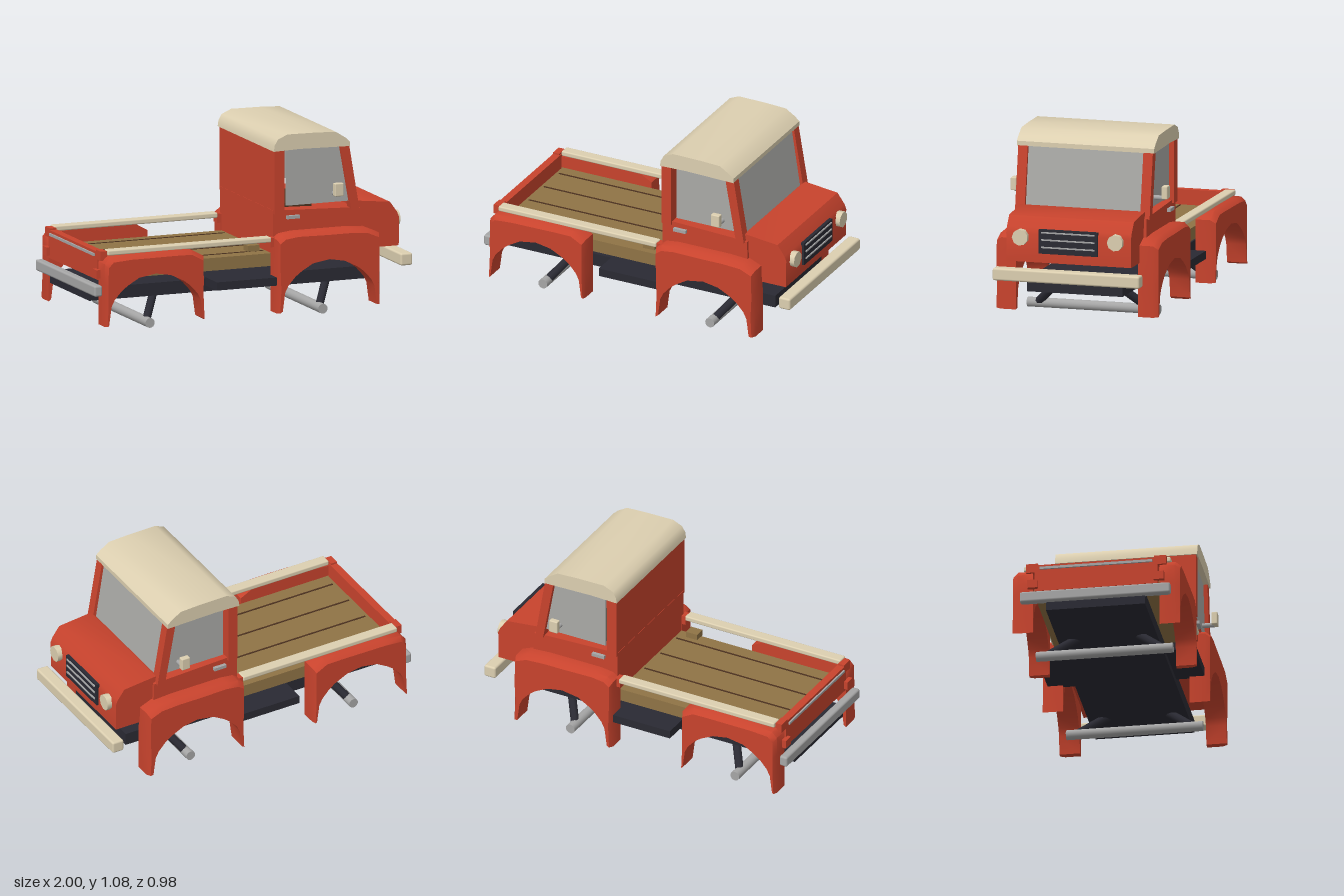
import * as THREE from 'three';
import { toCreasedNormals } from 'three/addons/utils/BufferGeometryUtils.js';
import { RoundedBoxGeometry } from 'three/addons/geometries/RoundedBoxGeometry.js';

const mat = (name, color, side = THREE.FrontSide) => {
  const m = new THREE.MeshStandardMaterial({ color, side });
  m.name = name;
  return m;
};

export function createModel() {
  const red = mat('body red', 0xc8432d);
  const cream = mat('cream', 0xdccfb0);
  const wood = mat('wood', 0x8f7345);
  const groove = mat('plank groove', 0x4d3220);
  const dark = mat('dark frame', 0x2a2a33);
  const metal = mat('grey metal', 0xa6a6a6);
  const glass = mat('window grey', 0xa9a9a6, THREE.DoubleSide);

  const truck = new THREE.Group();
  truck.name = 'flatbedTruck';

  const add = (name, geo, material, x = 0, y = 0, z = 0) => {
    const m = new THREE.Mesh(geo, material);
    m.name = name;
    m.position.set(x, y, z);
    truck.add(m);
    return m;
  };
  // Box from its limits on each axis, with optional rounded edges
  const box = (name, material, [x0, x1], [y0, y1], [z0, z1], r = 0) => {
    const s = [x1 - x0, y1 - y0, z1 - z0];
    const geo = r ? new RoundedBoxGeometry(...s, 2, r) : new THREE.BoxGeometry(...s);
    return add(name, geo, material, (x0 + x1) / 2, (y0 + y1) / 2, (z0 + z1) / 2);
  };
  // Side profile extruded across z
  const slab = (name, material, pts, z0, z1, crease = 0.3) => {
    const shape = new THREE.Shape(pts.map(p => new THREE.Vector2(...p)));
    const geo = new THREE.ExtrudeGeometry(shape, { depth: z1 - z0, bevelEnabled: false });
    return add(name, toCreasedNormals(geo, crease), material, 0, 0, z0);
  };
  // Round bar between two points
  const bar = (name, material, a, b, r, sides = 12) => {
    const p = new THREE.Vector3(...a), q = new THREE.Vector3(...b);
    const d = q.clone().sub(p);
    const m = add(name, new THREE.CylinderGeometry(r, r, d.length(), sides), material);
    m.position.copy(p).add(q).multiplyScalar(0.5);
    m.quaternion.setFromUnitVectors(new THREE.Vector3(0, 1, 0), d.normalize());
    return m;
  };
  const span = (s, a, b) => (s > 0 ? [a, b] : [-b, -a]);

  // Wheel arch: paired outer and inner outline points, swept as a chamfered section
  const fender = (name, outer, inner, s) => {
    const z0 = 0.37, z1 = 0.49;
    const sections = outer.map(([ox, oy], i) => {
      const [ix, iy] = inner[i];
      const t = Math.min(0.4, 0.025 / Math.hypot(ix - ox, iy - oy));
      return [[ox, oy, z0], [ox, oy, z1 - 0.03],
        [ox + (ix - ox) * t, oy + (iy - oy) * t, z1], [ix, iy, z1], [ix, iy, z0]];
    });
    const pos = [];
    const tri = (a, b, c) => (s > 0 ? [a, b, c] : [a, c, b])
      .forEach(([x, y, z]) => pos.push(x, y, z * s));
    for (let i = 0; i < sections.length - 1; i++) {
      for (let j = 0; j < 5; j++) {
        const k = (j + 1) % 5;
        const a = sections[i][j], b = sections[i][k], c = sections[i + 1][k], d = sections[i + 1][j];
        tri(a, b, c);
        tri(a, c, d);
      }
    }
    const first = sections[0], last = sections[sections.length - 1];
    for (let j = 1; j < 4; j++) {
      tri(first[0], first[j + 1], first[j]);
      tri(last[0], last[j], last[j + 1]);
    }
    const geo = new THREE.BufferGeometry();
    geo.setAttribute('position', new THREE.Float32BufferAttribute(pos, 3));
    add(name, toCreasedNormals(geo, 0.8), red);
  };

  // Chassis
  box('chassis', dark, [-0.97, 0.82], [0.165, 0.24], [-0.29, 0.29]);

  // Axles and their slanted struts
  for (const x of [-0.635, 0.45]) {
    bar('axle', metal, [x, 0.029, -0.4], [x, 0.029, 0.4], 0.029, 16);
    for (const s of [1, -1]) {
      bar('axleStrut', dark, [x, 0.03, s * 0.34], [x + 0.125, 0.19, s * 0.17], 0.025, 8);
    }
  }

  // Bumpers
  box('frontBumper', cream, [0.92, 0.995], [0.252, 0.325], [-0.445, 0.445], 0.012);
  box('rearBumper', metal, [-1, -0.95], [0.215, 0.28], [-0.44, 0.44], 0.012);

  // Cargo deck with plank grooves
  box('deck', wood, [-0.91, 0.14], [0.3, 0.375], [-0.37, 0.37]);
  for (const z of [-0.29, -0.1, 0.09, 0.28]) {
    box('plankGroove', groove, [-0.885, 0.125], [0.373, 0.378], [z - 0.005, z + 0.005]);
  }
  box('deckBlock', wood, [-0.005, 0.07], [0.392, 0.427], [0.295, 0.36]);

  // Tailgate
  box('tailgate', red, [-0.95, -0.905], [0.3, 0.465], [-0.36, 0.36]);
  box('tailgateTrim', metal, [-0.96, -0.948], [0.435, 0.45], [-0.33, 0.33]);

  // Body shell of the cab, and the hood
  slab('cabBody', red, [[0.14, 0.36], [0.7, 0.36], [0.69, 0.605], [0.6, 0.613], [0.14, 0.63]], -0.395, 0.395);
  slab('hood', red, [[0.66, 0.362], [0.935, 0.362], [0.937, 0.53], [0.925, 0.56], [0.88, 0.622], [0.67, 0.645], [0.66, 0.64]],
    -0.378, 0.378, 0.7);
  box('cabBackWall', red, [0.142, 0.2], [0.62, 0.985], [-0.36, 0.36]);
  box('seat', groove, [0.23, 0.42], [0.6, 0.65], [-0.3, 0.3]);

  // Windshield and roof
  slab('windshield', glass, [[0.642, 0.63], [0.651, 0.63], [0.596, 0.985], [0.587, 0.985]], -0.355, 0.355);
  slab('roof', cream, [[0.135, 0.98], [0.3, 0.985], [0.612, 0.978], [0.612, 1.005], [0.585, 1.03], [0.525, 1.068],
    [0.4, 1.074], [0.22, 1.076], [0.16, 1.05], [0.14, 1.015]], -0.416, 0.416, 0.65);

  // Grille
  box('grille', dark, [0.93, 0.95], [0.418, 0.56], [-0.178, 0.178]);
  for (const y of [0.456, 0.5, 0.543]) {
    box('grilleBar', metal, [0.948, 0.957], [y - 0.004, y + 0.004], [-0.162, 0.162]);
  }

  const rearOuter = [[-0.945, 0.04], [-0.945, 0.19], [-0.945, 0.3], [-0.945, 0.41], [-0.915, 0.442], [-0.8, 0.452],
    [-0.635, 0.455], [-0.5, 0.455], [-0.4, 0.453], [-0.325, 0.412], [-0.325, 0.3], [-0.325, 0.19], [-0.325, 0.04]];
  const rearInner = [[-0.93, 0.05], [-0.915, 0.16], [-0.895, 0.2], [-0.85, 0.25], [-0.81, 0.28], [-0.74, 0.32],
    [-0.635, 0.337], [-0.54, 0.32], [-0.46, 0.28], [-0.42, 0.25], [-0.375, 0.2], [-0.355, 0.16], [-0.34, 0.05]];
  const frontOuter = [[0.135, 0.035], [0.135, 0.19], [0.135, 0.32], [0.135, 0.47], [0.17, 0.495], [0.25, 0.505],
    [0.45, 0.505], [0.58, 0.505], [0.7, 0.497], [0.775, 0.465], [0.78, 0.32], [0.78, 0.19], [0.78, 0.045]];
  const frontInner = rearInner.map(([x, y]) => [x + 1.09, y]);

  for (const s of [1, -1]) {
    // Fenders and running boards
    fender('rearFender', rearOuter, rearInner, s);
    fender('frontFender', frontOuter, frontInner, s);
    box('runningBoard', dark, [-0.24, 0.16], [0.2, 0.248], span(s, 0.28, 0.46));

    // Bed rails, end posts and tail lamps
    box('bedRail', cream, [-0.91, 0.115], [0.45, 0.481], span(s, 0.365, 0.43), 0.008);
    box('railPost', red, [0.112, 0.142], [0.42, 0.475], span(s, 0.37, 0.42));
    box('tailPost', red, [-0.95, -0.91], [0.42, 0.475], span(s, 0.34, 0.41));
    box('tailLamp', red, [-0.972, -0.945], [0.315, 0.365], span(s, 0.34, 0.4));

    // Cab pillars and side windows
    box('rearPillar', red, [0.142, 0.204], [0.61, 0.985], span(s, 0.35, 0.408));
    slab('frontPillar', red, [[0.625, 0.6], [0.676, 0.6], [0.611, 0.985], [0.556, 0.985]], ...span(s, 0.35, 0.408));
    slab('sideWindow', glass, [[0.225, 0.65], [0.62, 0.65], [0.565, 0.985], [0.225, 0.985]], ...span(s, 0.376, 0.384));

    // Door handles and mirrors
    box('doorHandle', metal, [0.22, 0.3], [0.576, 0.595], span(s, 0.394, 0.416));
    bar('mirrorArm', metal, [0.525, 0.703, s * 0.38], [0.525, 0.703, s * 0.452], 0.014);
    box('mirror', cream, [0.495, 0.55], [0.698, 0.775], span(s, 0.44, 0.475), 0.006);

    // Headlights
    bar('headlight', cream, [0.925, 0.508, s * 0.288], [0.965, 0.508, s * 0.288], 0.048, 9);
  }
  return truck;
}
